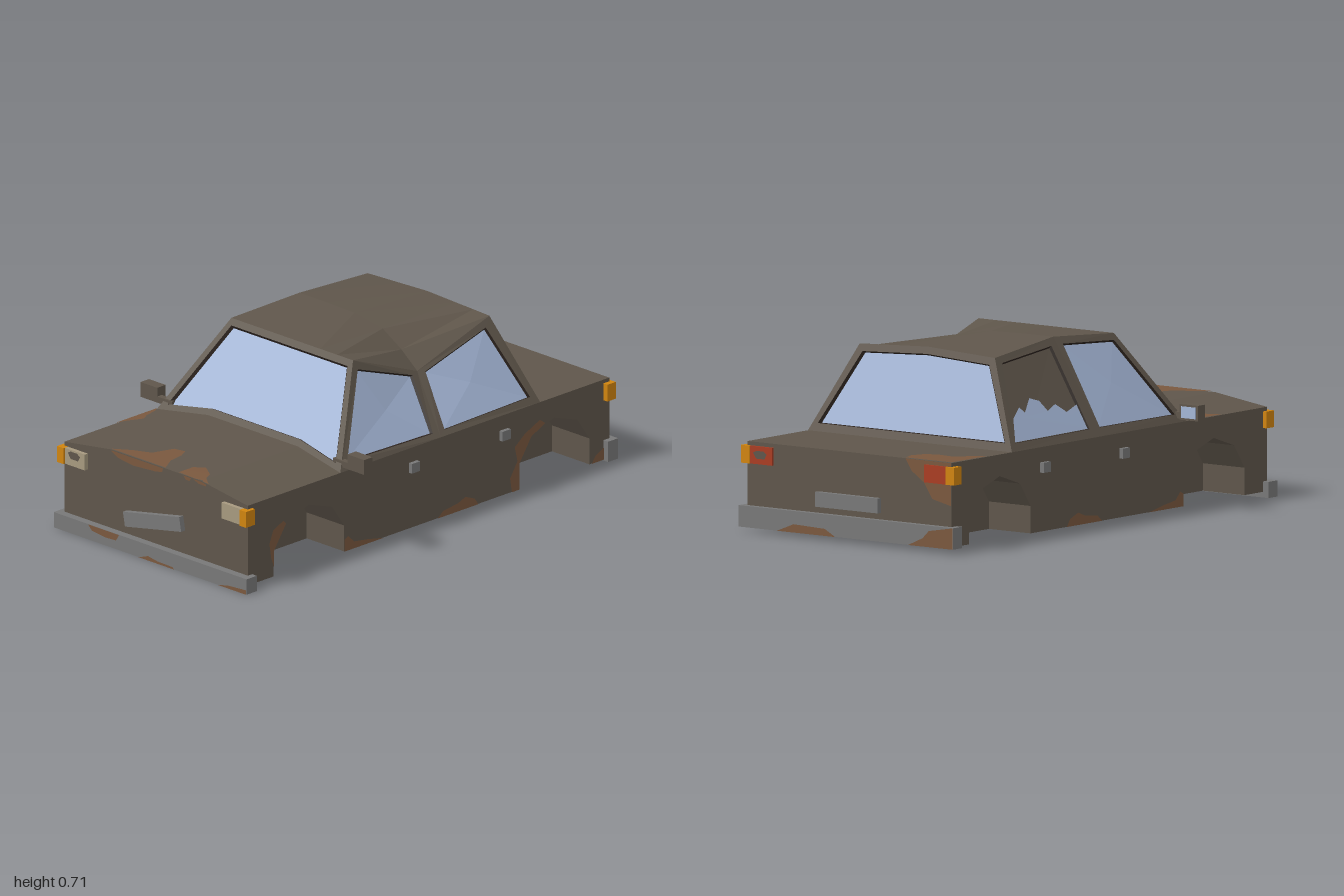
import * as THREE from 'three';

const V = (x, y, z) => new THREE.Vector3(x, y, z);
const CABIN_CENTRE = V(0, 0.4, -0.1);

export function createModel() {
  const car = new THREE.Group();
  car.name = 'wreckedSaloon';

  const material = (name, color, side = THREE.FrontSide) => {
    const m = new THREE.MeshStandardMaterial({ color, side });
    m.name = name;
    return m;
  };
  const paint = material('dullBrownPaint', 0x5f564b);
  const rust = material('rust', 0x7a583e, THREE.DoubleSide);
  const steel = material('greySteel', 0x787878);
  const glass = material('paleBlueGlass', 0xa4b6d6, THREE.DoubleSide);
  const rubber = material('darkRubber', 0x2c231e, THREE.DoubleSide);
  const amber = material('amberLens', 0xd0840f);
  const cream = material('creamLens', 0xa6997f);
  const red = material('redLens', 0xaa3c22);

  function add(name, geometry, mat) {
    const mesh = new THREE.Mesh(geometry, mat);
    mesh.name = name;
    car.add(mesh);
    return mesh;
  }
  // box given by its lower and upper corners
  function box(name, mat, [x0, y0, z0], [x1, y1, z1]) {
    const g = new THREE.BoxGeometry(Math.abs(x1 - x0), y1 - y0, Math.abs(z1 - z0));
    const mesh = add(name, g, mat);
    mesh.position.set((x0 + x1) / 2, (y0 + y1) / 2, (z0 + z1) / 2);
    return mesh;
  }
  // flat outline laid onto a surface by a mapping rule
  function patch(name, mat, points, place) {
    const g = new THREE.ShapeGeometry(new THREE.Shape(points.map(p => new THREE.Vector2(...p))));
    const pos = g.attributes.position;
    for (let i = 0; i < pos.count; i++) {
      const p = place(pos.getX(i), pos.getY(i));
      pos.setXYZ(i, p.x, p.y, p.z);
    }
    g.computeVertexNormals();
    add(name, g, mat);
  }
  // triangles turned to face away from the cabin centre
  function shell(name, mat, triangles) {
    const pts = [];
    for (const [a, b, c] of triangles) {
      const n = b.clone().sub(a).cross(c.clone().sub(a));
      const out = a.clone().add(b).add(c).divideScalar(3).sub(CABIN_CENTRE);
      pts.push(...(n.dot(out) < 0 ? [a, c, b] : [a, b, c]));
    }
    const g = new THREE.BufferGeometry().setFromPoints(pts);
    g.computeVertexNormals();
    add(name, g, mat);
  }
  const ring = (a, b) => a.flatMap((p, i) => {
    const j = (i + 1) % a.length;
    return [[p, a[j], b[j]], [p, b[j], b[i]]];
  });
  // painted frame, recessed rubber seal and pane
  function windowPanel(name, outer, inner, paneMat = glass) {
    const mid = inner.reduce((s, p) => s.add(p), V(0, 0, 0)).divideScalar(inner.length);
    const n = inner[1].clone().sub(inner[0]).cross(inner[2].clone().sub(inner[0])).normalize();
    if (n.dot(mid.clone().sub(CABIN_CENTRE)) > 0) n.negate();
    const pane = inner.map(p => p.clone().lerp(mid, 0.025).addScaledVector(n, 0.01));
    const hub = mid.clone().addScaledVector(n, 0.01);
    shell(name + 'Frame', paint, ring(outer, inner));
    shell(name + 'Seal', rubber, ring(inner, pane));
    shell(name + 'Pane', paneMat, pane.map((p, i) => [p, pane[(i + 1) % pane.length], hub]));
    return pane;
  }

  // lower body: solid centre and two side slabs cut by the wheel arches
  const frontZ = 0.968, backZ = -0.977, sill = 0.022, deck = 0.345;
  const arch = (z, r) => [[-r, sill], [-r, 0.127], [-0.66 * r, 0.22], [0, 0.262],
    [0.66 * r, 0.22], [r, 0.127], [r, sill]].map(([a, y]) => [z + a, y]);
  const ends = [[frontZ, sill], [frontZ, deck], [backZ, deck], [backZ, sill]];
  function slab(name, outline, x0, x1) {
    const g = new THREE.ExtrudeGeometry(
      new THREE.Shape(outline.map(p => new THREE.Vector2(...p))), { depth: x1 - x0, bevelEnabled: false });
    g.rotateY(-Math.PI / 2).translate(x1, 0, 0);
    add(name, g, paint);
  }
  const cut = [...ends, ...arch(-0.68, 0.19), ...arch(0.64, 0.19)];
  slab('bodyCentre', ends, -0.29, 0.29);
  slab('leftBodySide', cut, 0.29, 0.49);
  slab('rightBodySide', cut, -0.49, -0.29);

  // crowned bonnet
  const hoodY = x => deck + 0.035 * Math.min(1, (0.49 - Math.abs(x)) / 0.25);
  const hoodShape = new THREE.Shape([[-0.49, deck], [0.49, deck], [0.24, 0.38], [-0.24, 0.38]]
    .map(p => new THREE.Vector2(...p)));
  add('bonnet', new THREE.ExtrudeGeometry(hoodShape, { depth: frontZ - 0.46, bevelEnabled: false })
    .translate(0, 0, 0.46), paint);

  // windscreen and rear window
  const onFront = ([x, y]) => V(x, y, 0.46 - (y - 0.36) * 0.67);
  const onRear = ([x, y]) => V(x, y, -0.605 + (y - 0.345) * 0.32);
  windowPanel('windscreen',
    [[-0.49, 0.345], [-0.24, 0.38], [0.24, 0.38], [0.49, 0.345], [0.325, 0.695], [-0.325, 0.695]].map(onFront),
    [[-0.45, 0.37], [-0.235, 0.403], [0.235, 0.403], [0.45, 0.37], [0.31, 0.672], [-0.31, 0.672]].map(onFront));
  windowPanel('rearWindow',
    [[0.49, 0.345], [-0.49, 0.345], [-0.325, 0.68], [0, 0.695], [0.325, 0.68]].map(onRear),
    [[0.45, 0.375], [-0.45, 0.375], [-0.305, 0.653], [0, 0.668], [0.305, 0.653]].map(onRear));

  // side windows, with the left pillar crushed and the right one bulged
  const bilinear = (q, u, v) => q[0].clone().lerp(q[3], u).lerp(q[1].clone().lerp(q[2], u), v);
  for (const s of [1, -1]) {
    const side = s > 0 ? 'left' : 'right';
    const a0 = onFront([0.49 * s, 0.345]), a1 = onFront([0.325 * s, 0.695]);
    const b0 = V(0.49 * s, deck, -0.07), b1 = s > 0 ? V(0.335, 0.565, -0.1) : V(-0.295, 0.715, -0.1);
    const c0 = onRear([0.49 * s, 0.345]), c1 = onRear([0.325 * s, 0.68]);
    const inset = q => [[0.06, 0.085], [0.085, 0.925], [0.9, 0.925], [0.94, 0.085]]
      .map(([u, v]) => bilinear(q, u, v));
    const front = [a0, a1, b1, b0], rear = [b0, b1, c1, c0];
    windowPanel(side + 'FrontWindow', front, inset(front));
    const pane = windowPanel(side + 'RearWindow', rear, inset(rear), s > 0 ? glass : paint);
    if (s < 0) {
      // remaining shard of the broken window
      patch('brokenGlass', glass, [[0, 0], [1, 0], [0.97, 0.3], [0.85, 0.42], [0.78, 0.34], [0.66, 0.5],
        [0.52, 0.44], [0.44, 0.3], [0.3, 0.36], [0.18, 0.24], [0, 0.3]],
      (u, v) => bilinear(pane, u, v).add(V(-0.005, 0.003, 0)));
    }
  }

  // dented roof
  const rows = [
    [[-0.325, 0.695], [-0.15, 0.695], [0, 0.695], [0.15, 0.695], [0.24, 0.695], [0.325, 0.695]].map(onFront),
    [[-0.295, 0.715], [-0.15, 0.715], [0, 0.712], [0.15, 0.688], [0.25, 0.63], [0.335, 0.565]]
      .map(([x, y]) => V(x, y, -0.1)),
    [[-0.325, 0.68], [-0.15, 0.688], [0, 0.695], [0.15, 0.688], [0.24, 0.684], [0.325, 0.68]].map(onRear),
  ];
  const roof = [];
  for (let i = 0; i < 5; i++) {
    for (const [edge, ridge] of [[rows[0], rows[1]], [rows[2], rows[1]]]) {
      roof.push([edge[i], edge[i + 1], ridge[i]], [edge[i + 1], ridge[i + 1], ridge[i]]);
    }
  }
  shell('roof', paint, roof);

  // bumpers and number plates
  box('frontBumper', steel, [-0.515, 0, 0.945], [0.515, 0.062, 1]);
  box('rearBumper', steel, [-0.515, 0.018, -1], [0.515, 0.1, -0.945]);
  box('frontPlate', steel, [-0.153, 0.127, 0.965], [0.153, 0.185, 0.99]).rotation.z = 0.19;
  box('rearPlate', steel, [-0.15, 0.125, -0.997], [0.15, 0.182, -0.97]);

  // lamps, door handles and mirrors
  for (const s of [1, -1]) {
    const side = s > 0 ? 'left' : 'right';
    box(side + 'FrontIndicator', amber, [0.47 * s, 0.266, 0.945], [0.505 * s, 0.33, 0.993]);
    box(side + 'Headlamp', cream, [0.365 * s, 0.266, 0.95], [0.47 * s, 0.33, 0.985]);
    box(side + 'RearIndicator', amber, [0.47 * s, 0.262, -0.99], [0.512 * s, 0.33, -0.945]);
    box(side + 'TailLamp', red, [0.365 * s, 0.262, -0.987], [0.47 * s, 0.33, -0.95]);
    for (const z of [0.08, -0.408]) {
      box(side + 'DoorHandle', steel, [0.48 * s, 0.248, z - 0.022], [0.507 * s, 0.287, z + 0.022]);
    }
    box(side + 'MirrorArm', paint, [0.43 * s, 0.36, 0.425], [0.515 * s, 0.385, 0.45]);
    box(side + 'MirrorShell', paint, [0.508 * s, 0.36, 0.405], [0.597 * s, 0.42, 0.45]);
    box(side + 'MirrorGlass', glass, [0.518 * s, 0.368, 0.401], [0.587 * s, 0.412, 0.406]);
  }
  // broken lenses
  const hole = [[-0.035, 0.008], [-0.02, 0.016], [0.015, 0.016], [0.03, 0.005], [0.02, -0.014], [-0.02, -0.014]];
  patch('headlampHole', paint, hole, (x, y) => V(x - 0.418, y + 0.308, 0.987));
  patch('tailLampHole', paint, hole, (x, y) => V(0.42 - x, y + 0.297, -0.989));

  // rust
  const onNose = (x, y) => V(x, y, frontZ + 0.003), onTail = (x, y) => V(x, y, backZ - 0.003);
  const onHood = (x, z) => V(x, hoodY(x) + 0.003, z), onBoot = (x, z) => V(x, deck + 0.003, z);
  const onSide = s => (z, y) => V(0.493 * s, y, z);
  const onBumper = z => (x, y) => V(x, y, z);
  patch('noseRust', rust, [[-0.24, 0.378], [-0.2, 0.357], [-0.12, 0.347], [0, 0.355], [0.035, 0.362], [0.04, 0.378]], onNose);
  patch('noseRust', rust, [[0.15, 0.378], [0.16, 0.365], [0.18, 0.364], [0.19, 0.378]], onNose);
  patch('noseRust', rust, [[0.2, 0.378], [0.23, 0.366], [0.27, 0.366], [0.27, 0.374], [0.24, 0.378]], onNose);
  patch('bonnetRust', rust, [[-0.24, 0.967], [-0.17, 0.92], [-0.1, 0.89], [-0.07, 0.8], [-0.02, 0.79],
    [0, 0.83], [0.01, 0.9], [0.05, 0.967]], onHood);
  patch('bonnetRust', rust, [[0.12, 0.967], [0.12, 0.89], [0.16, 0.86], [0.22, 0.9], [0.24, 0.94], [0.28, 0.967]], onHood);
  patch('bonnetRust', rust, [[-0.49, 0.47], [-0.47, 0.5], [-0.455, 0.56], [-0.43, 0.6], [-0.47, 0.65], [-0.49, 0.69]], onHood);
  patch('bootRust', rust, [[-0.49, -0.977], [-0.27, -0.977], [-0.25, -0.92], [-0.27, -0.86], [-0.32, -0.84],
    [-0.4, -0.85], [-0.45, -0.79], [-0.49, -0.75]], onBoot);
  patch('tailRust', rust, [[-0.49, 0.345], [-0.27, 0.345], [-0.3, 0.3], [-0.36, 0.26], [-0.4, 0.2], [-0.49, 0.18]], onTail);
  patch('frontArchRust', rust, [[0.83, 0.127], [0.83, 0.06], [0.845, 0.1], [0.855, 0.16], [0.835, 0.21],
    [0.78, 0.235], [0.765, 0.22]], onSide(1));
  patch('rearArchRust', rust, [[-0.49, 0.022], [-0.49, 0.127], [-0.555, 0.22], [-0.63, 0.255], [-0.6, 0.275],
    [-0.52, 0.24], [-0.465, 0.2], [-0.48, 0.14], [-0.44, 0.08], [-0.45, 0.022]], onSide(1));
  patch('cornerRust', rust, [[-0.88, 0.022], [-0.9, 0.05], [-0.94, 0.07], [-0.975, 0.065], [-0.975, 0.022]], onSide(1));
  for (const s of [1, -1]) {
    patch('sillRust', rust, [[0.45, 0.022], [0.45, 0.07], [0.43, 0.08], [0.4, 0.05], [0.33, 0.04], [0.24, 0.022]], onSide(s));
    patch('sillRust', rust, [[-0.05, 0.022], [-0.08, 0.045], [-0.16, 0.055], [-0.2, 0.07], [-0.25, 0.05], [-0.27, 0.022]], onSide(s));
  }
  patch('frontBumperRust', rust, [[-0.33, 0.062], [-0.31, 0.042], [-0.24, 0.033], [-0.18, 0.036], [-0.165, 0.062]], onBumper(1.002));
  patch('frontBumperRust', rust, [[-0.06, 0], [-0.01, 0.018], [0.04, 0.01], [0.12, 0.008], [0.13, 0]], onBumper(1.002));
  patch('frontBumperRust', rust, [[0.36, 0], [0.42, 0.012], [0.515, 0.018], [0.515, 0]], onBumper(1.002));
  patch('rearBumperRust', rust, [[-0.515, 0.1], [-0.4, 0.08], [-0.37, 0.05], [-0.3, 0.018], [-0.515, 0.018]], onBumper(-1.002));
  patch('rearBumperRust', rust, [[0.05, 0.018], [0.1, 0.045], [0.25, 0.05], [0.33, 0.018]], onBumper(-1.002));
  return car;
}
